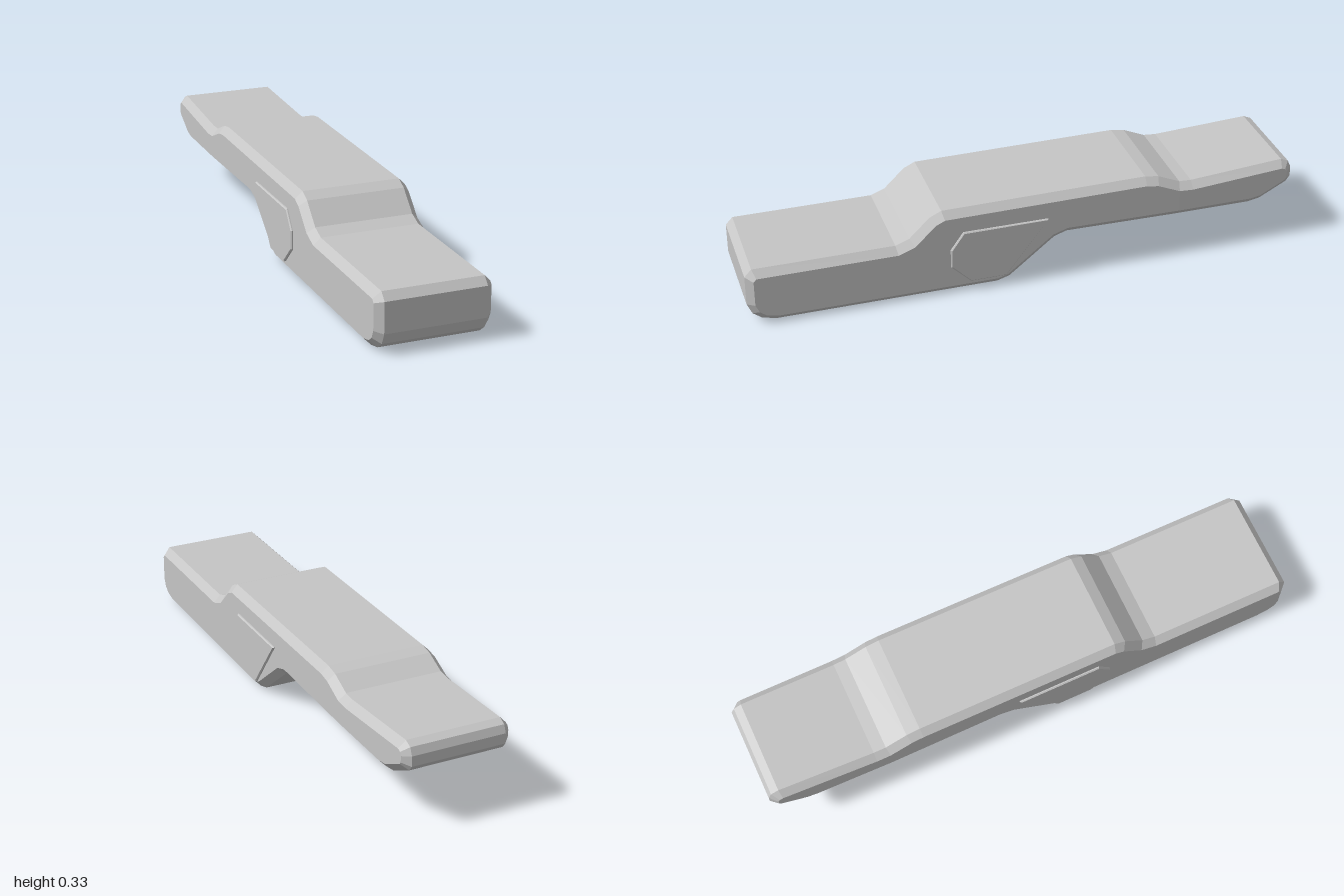
import * as THREE from 'three';

const HALF_WIDTH = 0.204;

// Extrude a side profile of [z, y] points across x, with a chamfer cut into its rim
function chamferedProfile(points, width, chamfer) {
  const shape = new THREE.Shape(points.map(([z, y]) => new THREE.Vector2(z, y)));
  const geometry = new THREE.ExtrudeGeometry(shape, {
    depth: width - 2 * chamfer,
    bevelEnabled: true,
    bevelThickness: chamfer,
    bevelSize: chamfer,
    bevelOffset: -chamfer,
    bevelSegments: 1,
  });
  geometry.translate(0, 0, -(width / 2 - chamfer));
  geometry.rotateY(-Math.PI / 2);
  return geometry;
}

export function createModel() {
  const model = new THREE.Group();
  model.name = 'steppedBlock';
  const grey = new THREE.MeshStandardMaterial({ color: 0xc5c5c5 });
  grey.name = 'lightGrey';

  // Body outline: along the underside to the back, then over the top to the front
  const bodyOutline = [
    [1, 0.185], [1, 0.076], [0.982, 0.036], [0.95, 0.012], [0.9, 0],
    [0.11, 0], [0.065, 0.014], [-0.1, 0.146], [-0.145, 0.161],
    [-0.56, 0.157], [-0.84, 0.154], [-0.885, 0.162], [-0.985, 0.213],
    [-1, 0.233], [-1, 0.27], [-0.988, 0.297], [-0.96, 0.309],
    [-0.61, 0.286], [-0.565, 0.289], [-0.485, 0.323], [-0.435, 0.331],
    [0.31, 0.323], [0.352, 0.303], [0.425, 0.232], [0.475, 0.213],
    [0.975, 0.212],
  ];
  const bodyGeometry = chamferedProfile(bodyOutline, 2 * HALF_WIDTH, 0.026);

  // Narrow the tail slightly
  const position = bodyGeometry.attributes.position;
  for (let i = 0; i < position.count; i++) {
    const t = Math.max(0, (-0.565 - position.getZ(i)) / 0.435);
    position.setX(i, position.getX(i) * (1 - 0.05 * t));
  }
  bodyGeometry.computeVertexNormals();
  const body = new THREE.Mesh(bodyGeometry, grey);
  body.name = 'body';
  model.add(body);

  // Raised plate on each side
  const plateOutline = [
    [0.24, 0.24], [0.286, 0.175], [0.286, 0.107], [0.215, 0.038],
    [0.085, 0.038], [-0.068, 0.24],
  ];
  for (const side of [1, -1]) {
    const plate = new THREE.Mesh(chamferedProfile(plateOutline, 0.016, 0.004), grey);
    plate.name = side > 0 ? 'leftPlate' : 'rightPlate';
    plate.position.x = side * HALF_WIDTH;
    model.add(plate);
  }
  return model;
}
